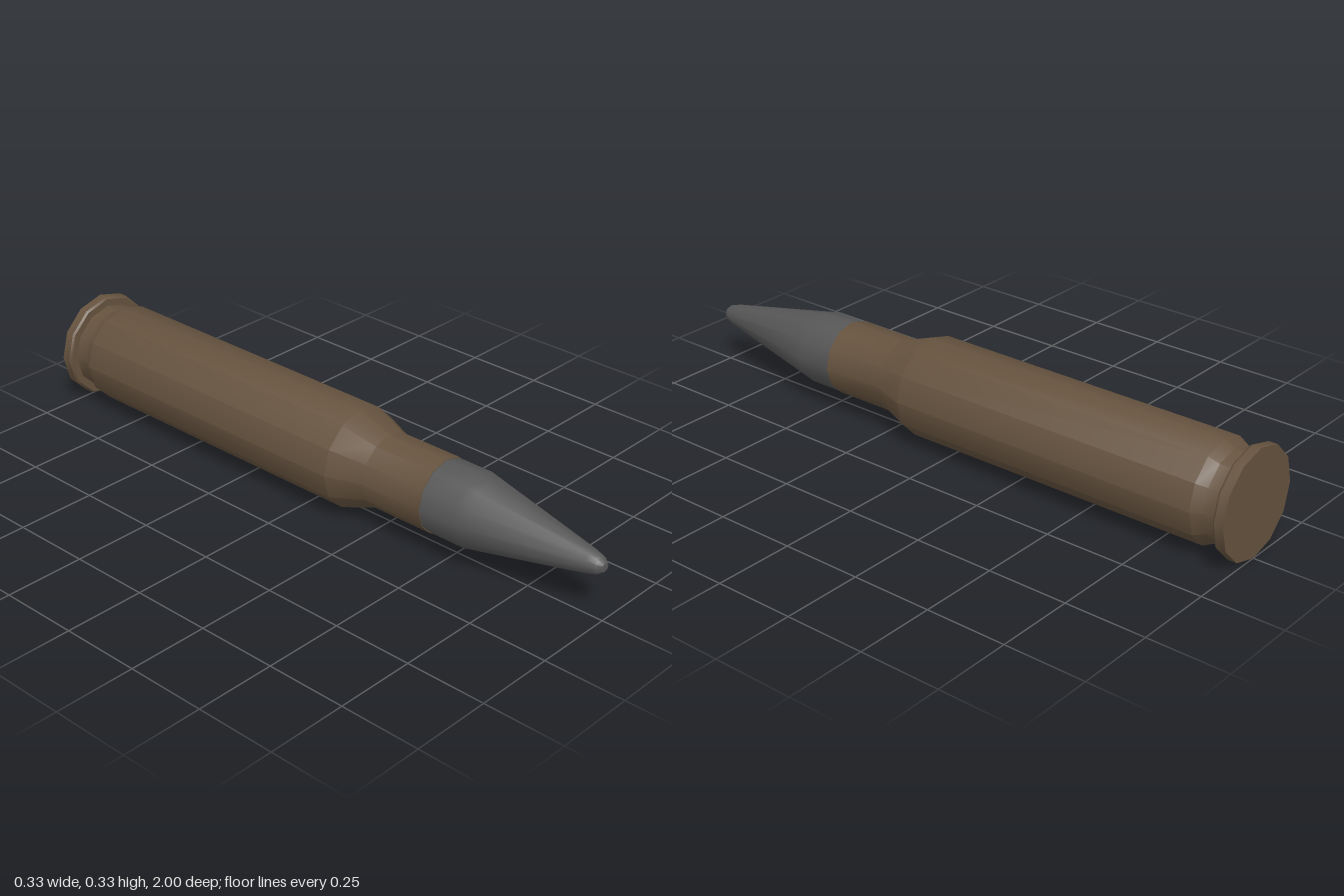
import * as THREE from 'three';
import { toCreasedNormals } from 'three/addons/utils/BufferGeometryUtils.js';

const SIDES = 12;
const AXIS_HEIGHT = 0.167;

// Turn a profile of [radius, z] pairs, listed back to front, around the long axis
function turned(name, profile, material) {
  const points = profile.map(([r, z]) => new THREE.Vector2(r, z));
  const lathe = new THREE.LatheGeometry(points, SIDES).rotateX(Math.PI / 2);
  const mesh = new THREE.Mesh(toCreasedNormals(lathe, 0.6), material);
  mesh.name = name;
  mesh.position.y = AXIS_HEIGHT;
  return mesh;
}

export function createModel() {
  const brass = new THREE.MeshStandardMaterial({ name: 'dull brass', color: 0x66533f });
  const steel = new THREE.MeshStandardMaterial({ name: 'dark steel', color: 0x575757 });

  const group = new THREE.Group();
  group.name = 'cartridge';

  // Casing: base, rim, extractor groove, body, shoulder, neck and mouth
  group.add(turned('casing', [
    [0, -1], [0.166, -1], [0.166, -0.972], [0.161, -0.965],
    [0.138, -0.965], [0.138, -0.92], [0.155, -0.888],
    [0.155, 0.13], [0.115, 0.24], [0.115, 0.45], [0.11, 0.45],
  ], brass));

  // Bullet: short cylinder, long taper and rounded tip
  group.add(turned('bullet', [
    [0.113, 0.44], [0.113, 0.565], [0.106, 0.6], [0.035, 0.953],
    [0.027, 0.98], [0.014, 0.996], [0, 1],
  ], steel));

  return group;
}
